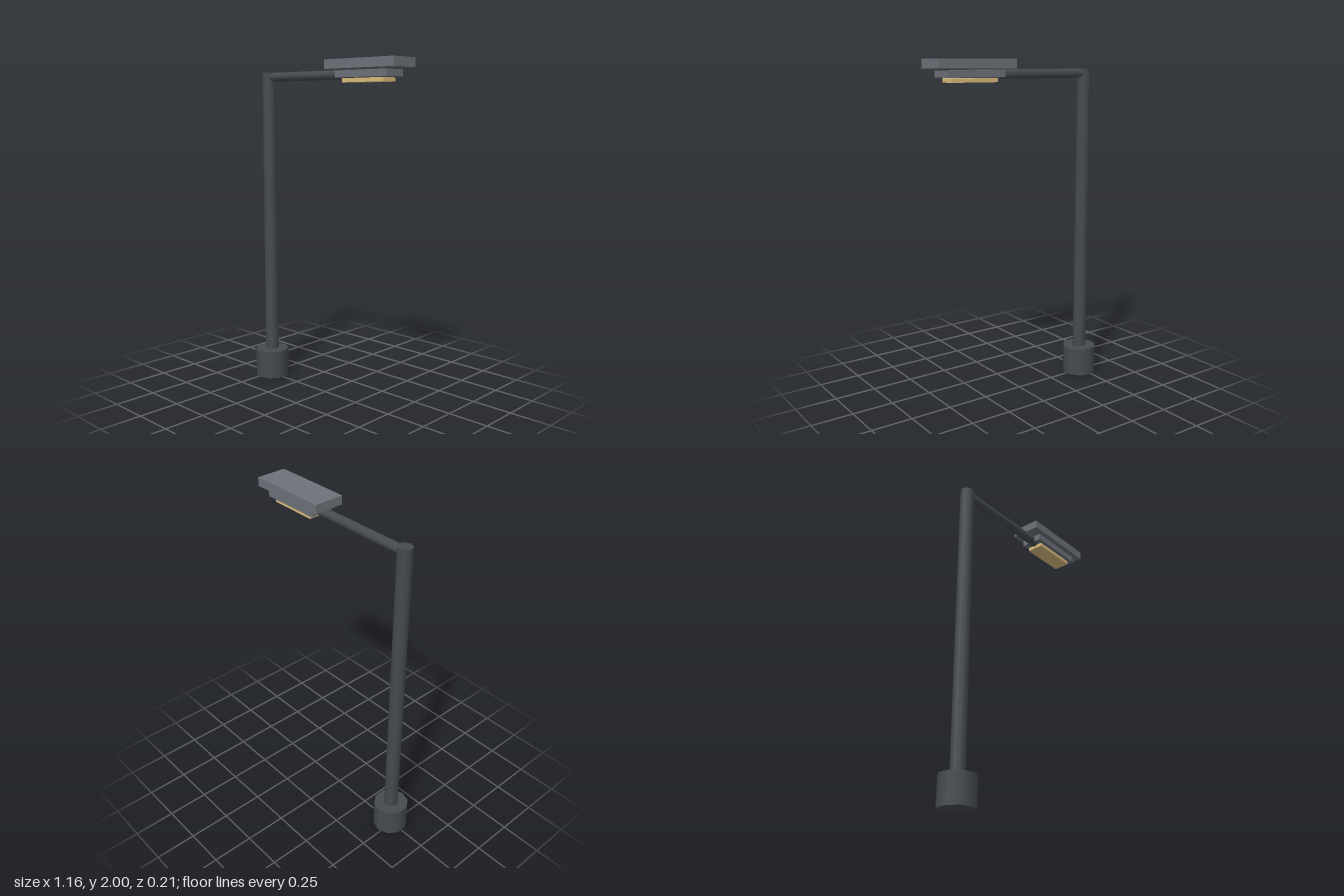
import * as THREE from 'three';

const material = (name, color) => {
  const m = new THREE.MeshStandardMaterial({ color });
  m.name = name;
  return m;
};

export function createModel() {
  const group = new THREE.Group();
  const darkMetal = material('darkMetal', 0x464a4e);
  const greyMetal = material('greyMetal', 0x6d7279);
  const warmLens = material('warmLens', 0xd8bb7c);
  const poleX = -0.48;

  const add = (name, geometry, mat, x, y) => {
    const mesh = new THREE.Mesh(geometry, mat);
    mesh.name = name;
    mesh.position.set(x, y, 0);
    group.add(mesh);
    return mesh;
  };
  const rod = (r, length, sides) => new THREE.CylinderGeometry(r, r, length, sides);
  // Box given by its x and y limits and its depth
  const slab = (name, mat, x0, x1, y0, y1, depth) =>
    add(name, new THREE.BoxGeometry(x1 - x0, y1 - y0, depth), mat, (x0 + x1) / 2, (y0 + y1) / 2);

  // Footing and upright
  add('base', rod(0.105, 0.177, 10), darkMetal, poleX, 0.0885);
  add('pole', rod(0.042, 1.845, 10), darkMetal, poleX, 1.0225);

  // Horizontal arm, running from the pole into the lamp head
  const armEnd = 0.338;
  const arm = add('arm', rod(0.028, armEnd - poleX, 10), darkMetal, (poleX + armEnd) / 2, 1.917);
  arm.rotation.z = -Math.PI / 2;

  // Stepped lamp head
  slab('lampCover', greyMetal, 0.08, 0.578, 1.948, 2.0, 0.184);
  slab('lampHousing', greyMetal, 0.143, 0.514, 1.9, 1.938, 0.138);
  slab('lampLens', warmLens, 0.18, 0.476, 1.873, 1.896, 0.102);

  return group;
}
